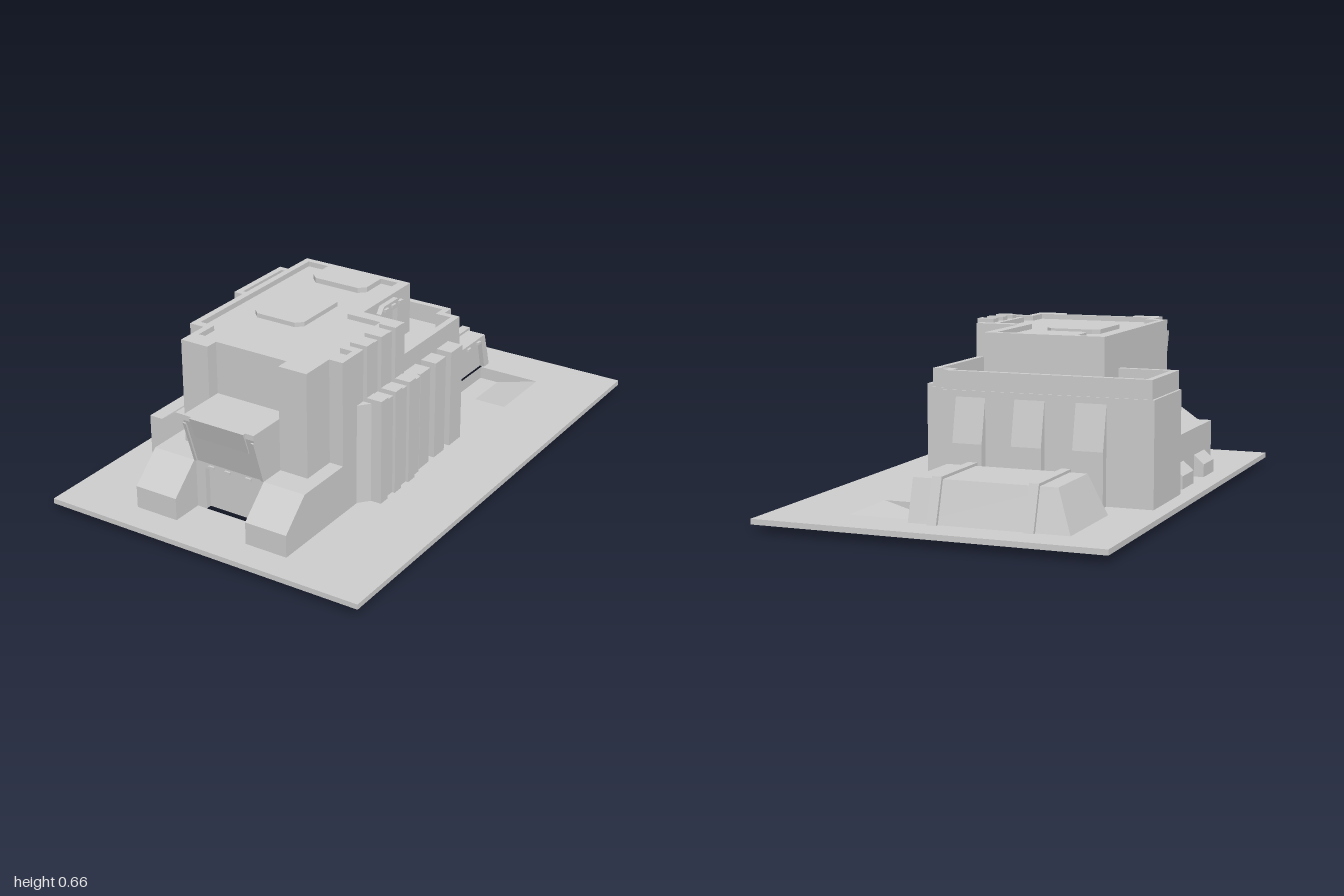
import * as THREE from 'three';

const grey = new THREE.MeshStandardMaterial({ color: 0xcccccc, flatShading: true, side: THREE.DoubleSide });

// Removes horizontal triangles lying at height y, to leave a shell open there
function openAt(geo, y) {
  const g = geo.index ? geo.toNonIndexed() : geo;
  const p = g.attributes.position.array, out = [];
  for (let i = 0; i < p.length; i += 9) {
    const flat = [1, 4, 7].every(k => Math.abs(p[i + k] - y) < 1e-4);
    if (!flat) for (let k = 0; k < 9; k++) out.push(p[i + k]);
  }
  const r = new THREE.BufferGeometry();
  r.setAttribute('position', new THREE.Float32BufferAttribute(out, 3));
  r.computeVertexNormals();
  return r;
}

function shapeOf(pts, holes = []) {
  const v = a => a.map(([x, y]) => new THREE.Vector2(x, y));
  const s = new THREE.Shape(v(pts));
  holes.forEach(h => s.holes.push(new THREE.Path(v(h))));
  return s;
}

// Extrude a section from a to b along an axis: 'y' takes (x,z), 'x' takes (z,y), 'z' takes (x,y)
function prism(axis, pts, a, b, holes) {
  const g = new THREE.ExtrudeGeometry(shapeOf(pts, holes), { depth: b - a, bevelEnabled: false });
  if (axis === 'y') g.rotateX(Math.PI / 2).translate(0, b, 0);
  if (axis === 'x') g.rotateY(-Math.PI / 2).translate(b, 0, 0);
  if (axis === 'z') g.translate(0, 0, a);
  return g;
}

function box(x0, x1, y0, y1, z0, z1) {
  return new THREE.BoxGeometry(x1 - x0, y1 - y0, z1 - z0)
    .translate((x0 + x1) / 2, (y0 + y1) / 2, (z0 + z1) / 2);
}

// Rectangle with cut corners
const octagon = (x0, x1, z0, z1, c) => [
  [x0 + c, z0], [x1 - c, z0], [x1, z0 + c], [x1, z1 - c],
  [x1 - c, z1], [x0 + c, z1], [x0, z1 - c], [x0, z0 + c]];

export function createModel() {
  const root = new THREE.Group();
  const add = (name, geo, parent = root) => {
    const m = new THREE.Mesh(geo, grey);
    m.name = name;
    parent.add(m);
    return m;
  };
  const group = name => {
    const g = new THREE.Group();
    g.name = name;
    root.add(g);
    return g;
  };
  const G = 0.05;

  // Ground plate, cut out beneath the building, the bunker and its ramp
  const buildingHole = [[-0.59, -0.35], [0.22, -0.35], [0.22, -0.3], [0.285, -0.3], [0.285, 0.07],
    [0.355, 0.115], [0.355, 0.36], [0.29, 0.44], [0.29, 0.885], [0.12, 0.885], [0.12, 0.76],
    [-0.18, 0.76], [-0.18, 0.885], [-0.355, 0.885], [-0.355, 0.58], [-0.53, 0.58], [-0.53, -0.03], [-0.59, -0.03]];
  const bunkerHole = [[-0.47, -0.49], [0.11, -0.49], [0.11, -0.53], [0.37, -0.53], [0.37, -0.81],
    [0.11, -0.81], [0.11, -0.86], [-0.47, -0.86]];
  add('groundPlate', prism('y', [[-0.65, -1], [0.65, -1], [0.65, 1], [-0.65, 1]], 0.03, G,
    [buildingHole, bunkerHole]));

  // Lower storey
  const front = [[0.29, 0.53], [0.235, 0.53], [0.235, 0.67], [0.12, 0.67], [0.12, 0.62], [-0.18, 0.62],
    [-0.18, 0.67], [-0.295, 0.67], [-0.295, 0.54], [-0.355, 0.54]];
  const lower = [[-0.59, -0.35], [0.22, -0.35], [0.22, -0.3], [0.285, -0.3], [0.285, 0.07],
    [0.355, 0.115], [0.355, 0.36], [0.29, 0.44], ...front, [-0.355, -0.03], [-0.59, -0.03]];
  add('lowerStorey', openAt(prism('y', lower, G, 0.44), G));

  // Terrace parapet
  add('terraceParapet', prism('y', [[-0.58, -0.03], [-0.58, -0.345], [0.22, -0.345], [0.22, -0.295],
    [0.285, -0.295], [0.285, 0.12], [0.26, 0.12], [0.26, -0.27], [0.195, -0.27], [0.195, -0.32],
    [-0.555, -0.32], [-0.555, -0.055], [-0.355, -0.055], [-0.355, -0.03]], 0.44, 0.51));

  // Upper storey with a raised roof edge
  const upper = [[-0.355, -0.21], [0.115, -0.21], [0.115, 0.12], [0.29, 0.12], ...front];
  const roofInner = [[-0.33, -0.185], [-0.24, -0.185], [-0.24, -0.085], [-0.215, -0.06], [-0.025, -0.06],
    [0, -0.085], [0, -0.185], [0.075, -0.185], [0.075, 0.165], [0.215, 0.165], [0.215, 0.43], [0.265, 0.43],
    [0.265, 0.5], [0.205, 0.5], [0.205, 0.6], [-0.27, 0.6], [-0.27, 0.51], [-0.33, 0.51]];
  add('upperStorey', openAt(prism('y', upper, 0.44, 0.62), 0.44));
  add('roofEdge', prism('y', upper, 0.62, 0.64, [roofInner]));
  add('roofPad', prism('y', octagon(-0.235, -0.02, 0.06, 0.33, 0.025), 0.62, 0.637));

  // Corner trim on the tower front
  add('cornerTrim', prism('z', [[-0.345, 0.59], [-0.295, 0.59], [-0.295, 0.4], [-0.335, 0.48]], 0.54, 0.6));

  // Terrace door with lamps
  const door = group('terraceDoor');
  add('doorFrame', prism('x', [[-0.11, 0.44], [-0.11, 0.6], [-0.09, 0.625], [0.01, 0.625], [0.03, 0.6], [0.03, 0.44],
    [0.005, 0.44], [0.005, 0.59], [-0.085, 0.59], [-0.085, 0.44]], 0.115, 0.135), door);
  for (const z of [-0.1, -0.05, 0]) add('doorLamp', box(0.13, 0.145, 0.605, 0.615, z - 0.012, z + 0.012), door);

  // Cooling fins and pillars on the left side
  const fins = group('sideFins');
  for (const z of [0.185, 0.28, 0.375]) {
    add('upperFin', box(0.235, 0.305, 0.44, 0.655, z - 0.023, z + 0.023), fins);
    add('lowerFin', openAt(box(0.28, 0.366, G, 0.457, z - 0.023, z + 0.023), G), fins);
  }
  for (const [z0, z1] of [[-0.21, -0.125], [-0.085, -0.01], [0.03, 0.1]])
    add('sidePillar', openAt(box(0.28, 0.348, G, 0.44, z0, z1), G), fins);

  // Tapered buttresses on the back wall
  for (const x of [-0.355, -0.12, 0.11])
    add('backButtress', openAt(prism('x',
      [[-0.345, G], [-0.385, G], [-0.385, 0.25], [-0.345, 0.44]], x - 0.058, x + 0.058), G));

  // Front buttresses either side of the gate
  for (const [x0, x1] of [[-0.355, -0.18], [0.12, 0.29]])
    add('frontButtress', openAt(prism('x',
      [[0.53, G], [0.885, G], [0.885, 0.135], [0.77, 0.24], [0.53, 0.24]], x0, x1), G));

  // Gate and the overhanging hood above it
  const gate = group('gate');
  add('gateFrame', prism('z', [[-0.18, G], [-0.14, G], [-0.14, 0.215], [0.08, 0.215], [0.08, G],
    [0.12, G], [0.12, 0.24], [-0.18, 0.24]], 0.735, 0.76), gate);
  add('gateDoor', box(-0.18, 0.12, G, 0.235, 0.732, 0.737), gate);
  for (const x of [-0.11, -0.04, 0.05]) add('gateLamp', box(x - 0.012, x + 0.012, 0.22, 0.23, 0.76, 0.768), gate);
  add('hood', prism('x', [[0.62, 0.24], [0.765, 0.24], [0.822, 0.42], [0.822, 0.44], [0.62, 0.44]], -0.18, 0.12), gate);
  add('hoodLip', prism('x', [[0.79, 0.355], [0.805, 0.355], [0.835, 0.44], [0.79, 0.44]], -0.145, 0.085), gate);
  for (const [x0, x1] of [[-0.18, -0.168], [0.108, 0.12]])
    add('hoodRail', prism('x', [[0.74, 0.24], [0.772, 0.24], [0.826, 0.41], [0.8, 0.41]], x0, x1), gate);

  // Side annex with two small vents
  const annex = group('annex');
  add('annexBody', openAt(prism('z', [[-0.53, G], [-0.53, 0.24], [-0.475, 0.24], [-0.41, 0.285],
    [-0.355, 0.285], [-0.355, G]], -0.03, 0.58), G), annex);
  for (const [z0, z1] of [[0.065, 0.205], [0.345, 0.485]])
    add('annexVent', openAt(prism('z', [[-0.53, G], [-0.57, G], [-0.57, 0.1], [-0.53, 0.135]], z0, z1), G), annex);

  // Bunker with sloping sides, its end face framing a door
  const bunker = group('bunker');
  const body = box(-0.47, 0.1, G, 0.2, -0.86, -0.49), p = body.attributes.position;
  for (let i = 0; i < p.count; i++) if (p.getY(i) > 0.1) {
    if (p.getX(i) < 0) p.setX(i, -0.41);
    p.setZ(i, p.getZ(i) < -0.7 ? -0.815 : -0.535);
  }
  add('bunkerBody', openAt(body, G), bunker);
  add('bunkerFrame', prism('x', [[-0.86, G], [-0.815, 0.2], [-0.535, 0.2], [-0.49, G], [-0.53, G],
    [-0.56, 0.175], [-0.79, 0.175], [-0.82, G]], 0.1, 0.12), bunker);
  for (const [x0, x1] of [[-0.345, -0.31], [0.008, 0.043]])
    add('bunkerBand', openAt(prism('x',
      [[-0.875, G], [-0.825, 0.21], [-0.525, 0.21], [-0.475, G]], x0, x1), G), bunker);
  for (const z of [-0.755, -0.675, -0.59]) add('bunkerLamp', box(0.12, 0.13, 0.18, 0.19, z - 0.012, z + 0.012), bunker);

  // Sunken ramp leading down to the bunker door
  add('ramp', openAt(prism('z', [[0.11, 0], [0.19, 0], [0.37, G], [0.11, G]], -0.81, -0.53), G), bunker);

  return root;
}
